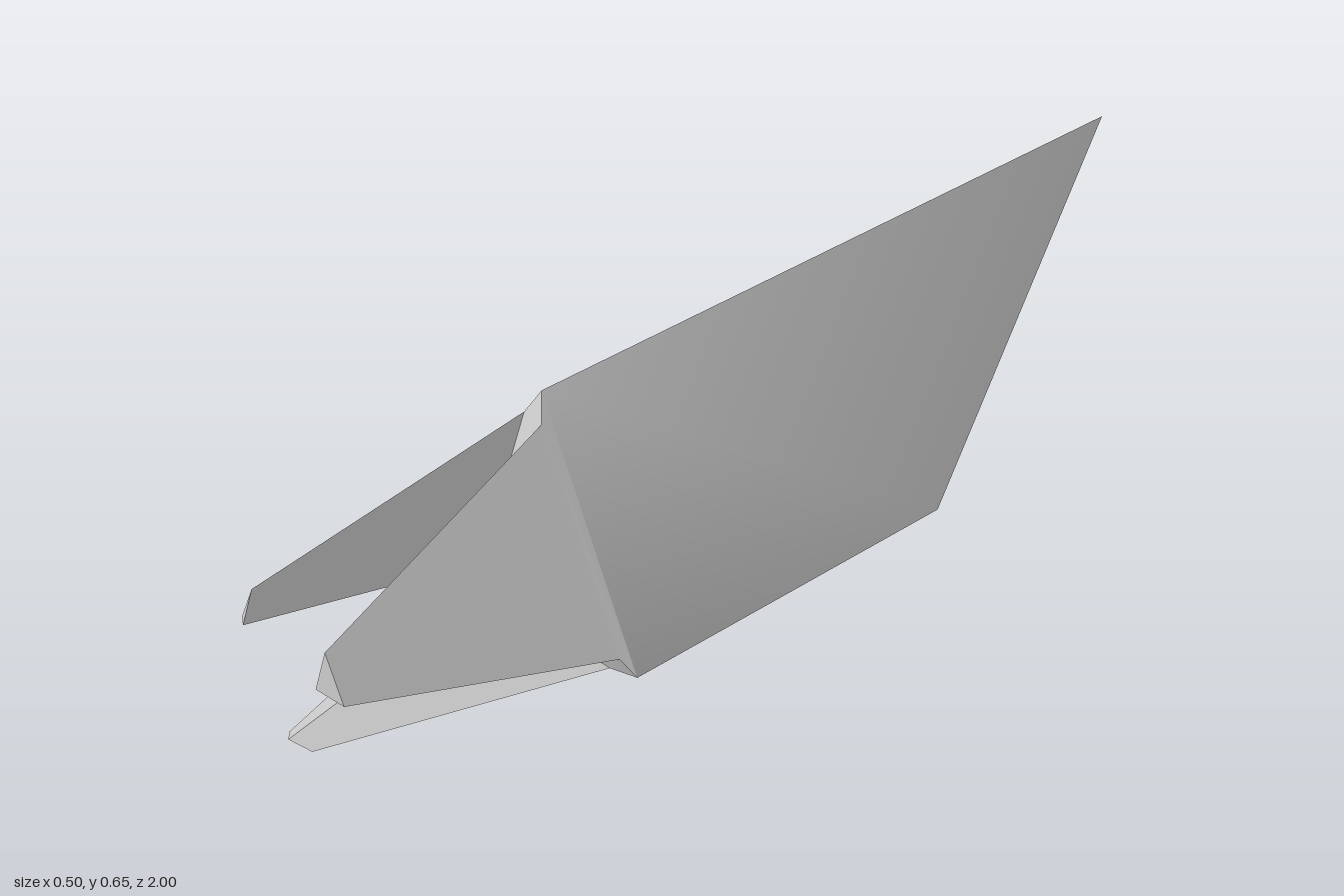
import * as THREE from 'three';
import { ConvexGeometry } from 'three/addons/geometries/ConvexGeometry.js';

const smooth = new THREE.MeshStandardMaterial({ color: 0xcccccc });
const flat = new THREE.MeshStandardMaterial({ color: 0xcccccc, flatShading: true });

// Half of the hull skin: s = 1 builds the left half, s = -1 mirrors it.
function halfSkin(s, quads) {
  const corners = [
    [0, 0.65, 0.415], [0, 0.65, -1],            // 0, 1 ridge
    [0.252, 0.146, 0.415], [0.252, 0.146, -0.335], // 2, 3 chine
    [0.07, 0, 0.23], [0.07, 0, -0.15],          // 4, 5 keel edge
    [0, 0, 0.23], [0, 0, -0.15],                // 6, 7 keel centre
    [0, 0.146, 0.415],                          // 8 front lip centre
  ];
  const index = [];
  for (const [a, b, c, d] of quads) {
    if (s > 0) index.push(a, b, c, a, c, d);
    else index.push(a, c, b, a, d, c);
  }
  const g = new THREE.BufferGeometry();
  g.setAttribute('position', new THREE.Float32BufferAttribute(
    corners.flatMap(([x, y, z]) => [s * x, y, z]), 3));
  g.setIndex(index);
  g.computeVertexNormals();
  return g;
}

function convex(name, points) {
  const mesh = new THREE.Mesh(
    new ConvexGeometry(points.map((p) => new THREE.Vector3(...p))), flat);
  mesh.name = name;
  return mesh;
}

const mirror = (points) => points.map(([x, y, z]) => [-x, y, z]);

export function createModel() {
  const model = new THREE.Group();
  model.name = 'wedgeShip';

  // Hull: three-sided prism with a raked stern and tapered underside
  const hull = new THREE.Group();
  hull.name = 'hull';
  for (const s of [1, -1]) {
    const side = new THREE.Mesh(halfSkin(s, [
      [0, 2, 3, 1],   // upper side
      [2, 4, 5, 3],   // lower side
      [1, 3, 5, 7],   // raked stern
      [2, 8, 6, 4],   // front underside
    ]), smooth);
    side.name = s > 0 ? 'hullLeft' : 'hullRight';
    const keel = new THREE.Mesh(halfSkin(s, [[4, 6, 7, 5]]), flat);
    keel.name = s > 0 ? 'keelLeft' : 'keelRight';
    hull.add(side, keel);
  }
  model.add(hull);

  // Root triangles of the prongs: two outer corners and one inner corner
  const sideRoot = [[0.025, 0.6, 0.437], [0.23, 0.188, 0.437], [0.025, 0.315, 0.55]];
  const lowerRoot = [[0.2, 0.147, 0.437], [-0.2, 0.147, 0.437], [0, 0.27, 0.55]];

  // Front core: shallow pyramid whose bevelled edges show between the prongs
  model.add(convex('frontCore', [
    [0, 0.65, 0.415], [0.252, 0.146, 0.415], [-0.252, 0.146, 0.415],
    [0, 0.302, 0.557],
    ...sideRoot, ...mirror(sideRoot), ...lowerRoot,
  ]));

  // Prongs: each tapers from its root triangle to a small bevelled tip
  const sideProng = [...sideRoot,
    [0.11, 0.43, 0.975], [0.155, 0.338, 0.975], [0.11, 0.362, 1]];
  const lowerProng = [...lowerRoot,
    [0.035, 0.15, 0.975], [-0.035, 0.15, 0.975], [0, 0.17, 1]];
  model.add(
    convex('leftProng', sideProng),
    convex('rightProng', mirror(sideProng)),
    convex('lowerProng', lowerProng),
  );
  return model;
}
